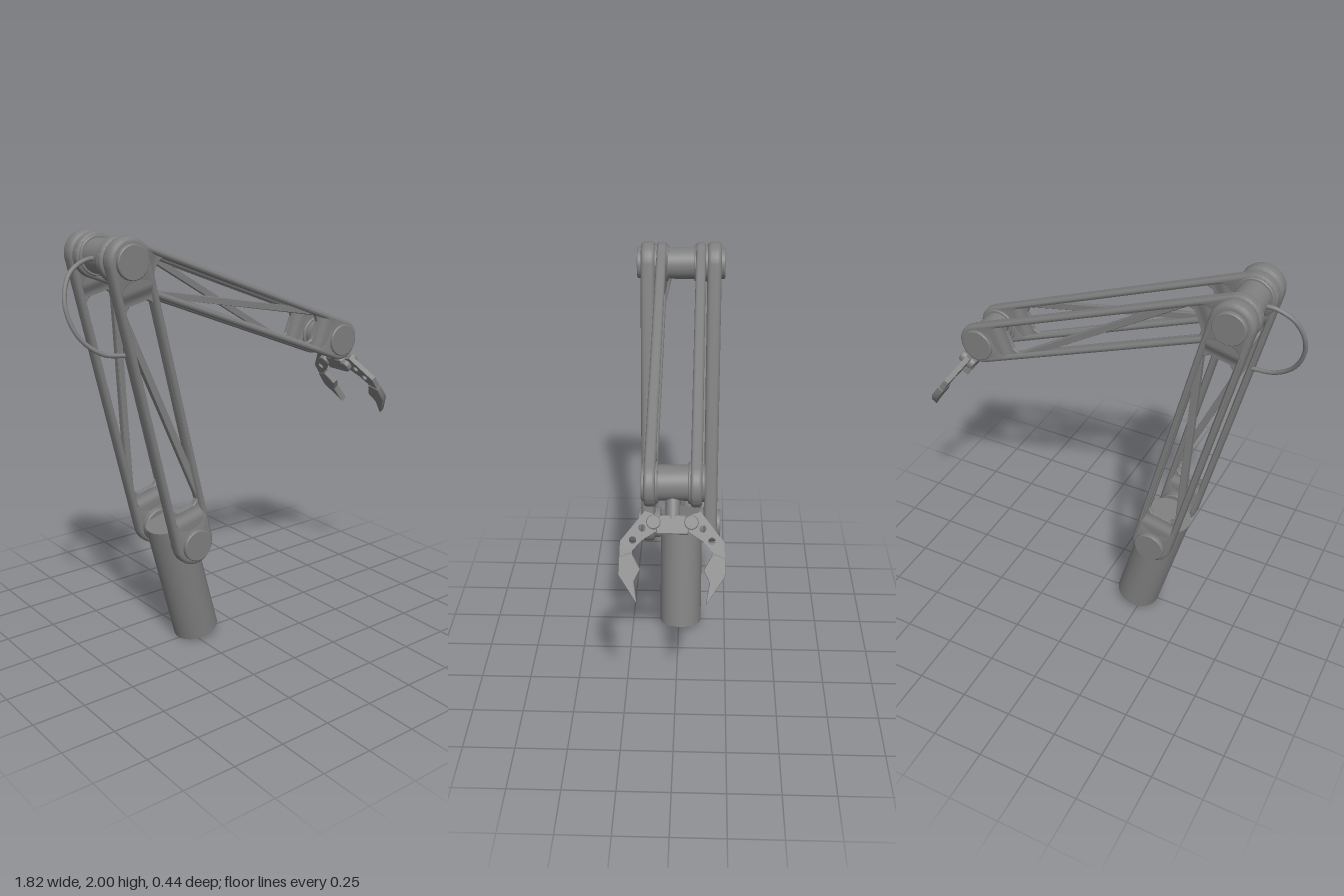
import * as THREE from 'three';
import { toCreasedNormals } from 'three/addons/utils/BufferGeometryUtils.js';

const mat = new THREE.MeshStandardMaterial({ color: 0x7e7e7e });
const LEN = 1.365, R = 0.1;
const SHOULDER = new THREE.Vector2(-0.35, 0.574);
const ELBOW = new THREE.Vector2(-0.66, 1.9);
const WRIST = new THREE.Vector2(0.608, 1.4);

function add(parent, name, geo) {
  const m = new THREE.Mesh(geo, mat);
  m.name = name;
  parent.add(m);
  return m;
}

// Extrusion centred on z, with its bevel kept inside the outline
function slab(shape, depth, bevel, segments = 3) {
  const g = new THREE.ExtrudeGeometry(shape, {
    depth: depth - 2 * bevel, bevelEnabled: bevel > 0, bevelThickness: bevel,
    bevelSize: bevel, bevelOffset: -bevel, bevelSegments: segments, curveSegments: 20,
  });
  g.translate(0, 0, -(depth - 2 * bevel) / 2);
  return toCreasedNormals(g, 0.6);
}

const poly = (Type, pts) => new Type(pts.map(([x, y]) => new THREE.Vector2(x, y)));

// Turned pin along z from z0 to z1 with chamfered rims
function pin(r, z0, z1, c = 0.004) {
  const a = Math.min(z0, z1), b = Math.max(z0, z1);
  const pts = [[0, a], [r - c, a], [r, a + c], [r, b - c], [r - c, b], [0, b]];
  const g = new THREE.LatheGeometry(pts.map(([x, y]) => new THREE.Vector2(x, y)), 40);
  g.rotateX(Math.PI / 2);
  return toCreasedNormals(g, 0.6);
}

// Rounded link rim with one long rounded window
function rimShape() {
  const s = new THREE.Shape();
  s.moveTo(0, -R);
  s.lineTo(LEN, -R);
  s.absarc(LEN, 0, R, -Math.PI / 2, Math.PI / 2, false);
  s.lineTo(0, R);
  s.absarc(0, 0, R, Math.PI / 2, Math.PI * 1.5, false);
  const h = new THREE.Path(), a = 0.1, b = LEN - a, w = 0.07, r = 0.055;
  h.moveTo(a + r, -w);
  h.lineTo(b - r, -w);
  h.quadraticCurveTo(b, -w, b, 0);
  h.quadraticCurveTo(b, w, b - r, w);
  h.lineTo(a + r, w);
  h.quadraticCurveTo(a, w, a, 0);
  h.quadraticCurveTo(a, -w, a + r, -w);
  s.holes.push(h);
  return s;
}

// Thinner web: one diagonal brace between two tapering openings
function webShape() {
  const e = 0.08, w = 0.078, hw = 0.068, mid = LEN / 2;
  const end = mid - 0.185, s = poly(THREE.Shape, [[e, -w], [LEN - e, -w], [LEN - e, w], [e, w]]);
  for (const k of [-1, 1]) {
    s.holes.push(poly(THREE.Path, [
      [-end, -0.045], [-end + 0.02, -hw], [-end + 0.03, -hw],
      [end - 0.21, hw], [-end + 0.02, hw], [-end, 0.045],
    ].map(([x, y]) => [mid + k * x, k * y])));
  }
  return s;
}

// Curved ramp easing from the full plate thickness down to the web
function rampGeometry(thick) {
  const h = thick / 2 - 0.001, t = thick * 0.22, s = new THREE.Shape();
  s.moveTo(0.08, -h);
  s.lineTo(0.115, -h);
  s.bezierCurveTo(0.145, -h, 0.15, -t, 0.184, -t);
  s.lineTo(0.184, t);
  s.bezierCurveTo(0.15, t, 0.145, h, 0.115, h);
  s.lineTo(0.08, h);
  const g = slab(s, 0.146, 0);
  g.rotateX(Math.PI / 2);
  return g;
}

// Pair of truss plates from one joint to another; the back one is turned over
function linkPair(name, from, to, z, thick, bevel) {
  const g = new THREE.Group();
  g.name = name;
  const rim = slab(rimShape(), thick, bevel), web = slab(webShape(), thick * 0.45, 0.004, 1);
  const ramp = rampGeometry(thick);
  for (const s of [1, -1]) {
    const plate = new THREE.Group();
    plate.name = name + 'Plate';
    add(plate, name + 'Rim', rim);
    add(plate, name + 'Brace', web);
    add(plate, name + 'NearWeb', ramp);
    const far = add(plate, name + 'FarWeb', ramp);
    far.position.x = LEN;
    far.rotation.z = Math.PI;
    plate.position.z = s * z;
    plate.rotation.x = s > 0 ? 0 : Math.PI;
    g.add(plate);
  }
  g.position.set(from.x, from.y, 0);
  g.rotation.z = Math.atan2(to.y - from.y, to.x - from.x);
  return g;
}

function joint(name, at) {
  const g = new THREE.Group();
  g.name = name;
  g.position.set(at.x, at.y, 0);
  return g;
}

// Gripper built in a plane: x across, y pointing away from the wrist
function gripper() {
  const g = joint('gripper', WRIST);
  const d = new THREE.Vector3(0.57, -0.82, 0).normalize(), across = new THREE.Vector3(0, 0, 1);
  g.quaternion.setFromRotationMatrix(
    new THREE.Matrix4().makeBasis(across, d, across.clone().cross(d)));
  add(g, 'neck', new THREE.CylinderGeometry(0.03, 0.03, 0.1, 24)).position.y = 0.1;
  add(g, 'palm', slab(poly(THREE.Shape,
    [[-0.05, 0.135], [0.05, 0.135], [0.075, 0.16], [0.065, 0.215], [-0.065, 0.215], [-0.075, 0.16]]),
  0.055, 0.005, 1));
  for (const s of [-1, 1]) {
    const flip = (pts) => pts.map(([x, y]) => [s * x, y]);
    const f = poly(THREE.Shape, flip([[0.05, 0.175], [0.07, 0.135], [0.115, 0.12], [0.215, 0.245],
      [0.218, 0.38], [0.16, 0.38], [0.165, 0.285], [0.125, 0.24], [0.07, 0.205]]));
    for (const [x, y] of [[0.163, 0.24], [0.125, 0.19]]) {
      const h = new THREE.Path();
      h.absarc(s * x, y, 0.015, 0, Math.PI * 2, true);
      f.holes.push(h);
    }
    add(g, 'finger', slab(f, 0.025, 0));
    add(g, 'fingertip', slab(poly(THREE.Shape, flip(
      [[0.22, 0.31], [0.22, 0.385], [0.142, 0.5], [0.155, 0.41], [0.13, 0.36], [0.168, 0.29]])),
    0.034, 0.003, 1));
    add(g, 'knuckle', pin(0.03, -0.04, 0.04)).position.set(s * 0.078, 0.165, 0);
  }
  return g;
}

export function createModel() {
  const root = new THREE.Group();
  root.name = 'roboticArm';

  // Leaning base post
  const base = add(root, 'basePost', new THREE.CylinderGeometry(0.11, 0.11, 0.617, 48));
  base.position.set(-0.29, 0.328, -0.01);
  base.rotation.z = 0.251;

  // Truss links
  root.add(linkPair('lowerArm', SHOULDER, ELBOW, 0.163, 0.07, 0.02));
  root.add(linkPair('forearm', ELBOW, WRIST, 0.096, 0.048, 0.014));

  // Pivots
  const shoulder = joint('shoulderJoint', SHOULDER);
  const elbow = joint('elbowJoint', ELBOW);
  const wrist = joint('wristJoint', WRIST);
  for (const s of [-1, 1]) {
    add(shoulder, 'shoulderPin', pin(0.082, s * 0.1, s * 0.195));
    add(shoulder, 'shoulderCap', pin(0.075, s * 0.19, s * 0.217));
    add(elbow, 'elbowCap', pin(0.075, s * 0.11, s * 0.217));
    add(elbow, 'elbowCollar', pin(0.088, s * 0.064, s * 0.135));
    add(wrist, 'wristCap', pin(0.078, s * 0.09, s * 0.132));
    add(wrist, 'wristCollar', pin(0.088, s * 0.062, s * 0.09));
  }
  add(elbow, 'elbowDrum', pin(0.077, -0.08, 0.08));
  add(wrist, 'wristDrum', pin(0.075, -0.08, 0.08));
  root.add(shoulder, elbow, wrist, gripper());

  // Cable loop behind the elbow
  const path = new THREE.CatmullRomCurve3([
    [-0.7, 1.9, 0.015], [-0.77, 1.9, 0.02], [-0.86, 1.85, 0.035], [-0.903, 1.73, 0.067],
    [-0.865, 1.6, 0.1], [-0.77, 1.52, 0.128], [-0.65, 1.5, 0.14],
  ].map((p) => new THREE.Vector3(...p)));
  add(root, 'cable', new THREE.TubeGeometry(path, 48, 0.01, 12));
  return root;
}
